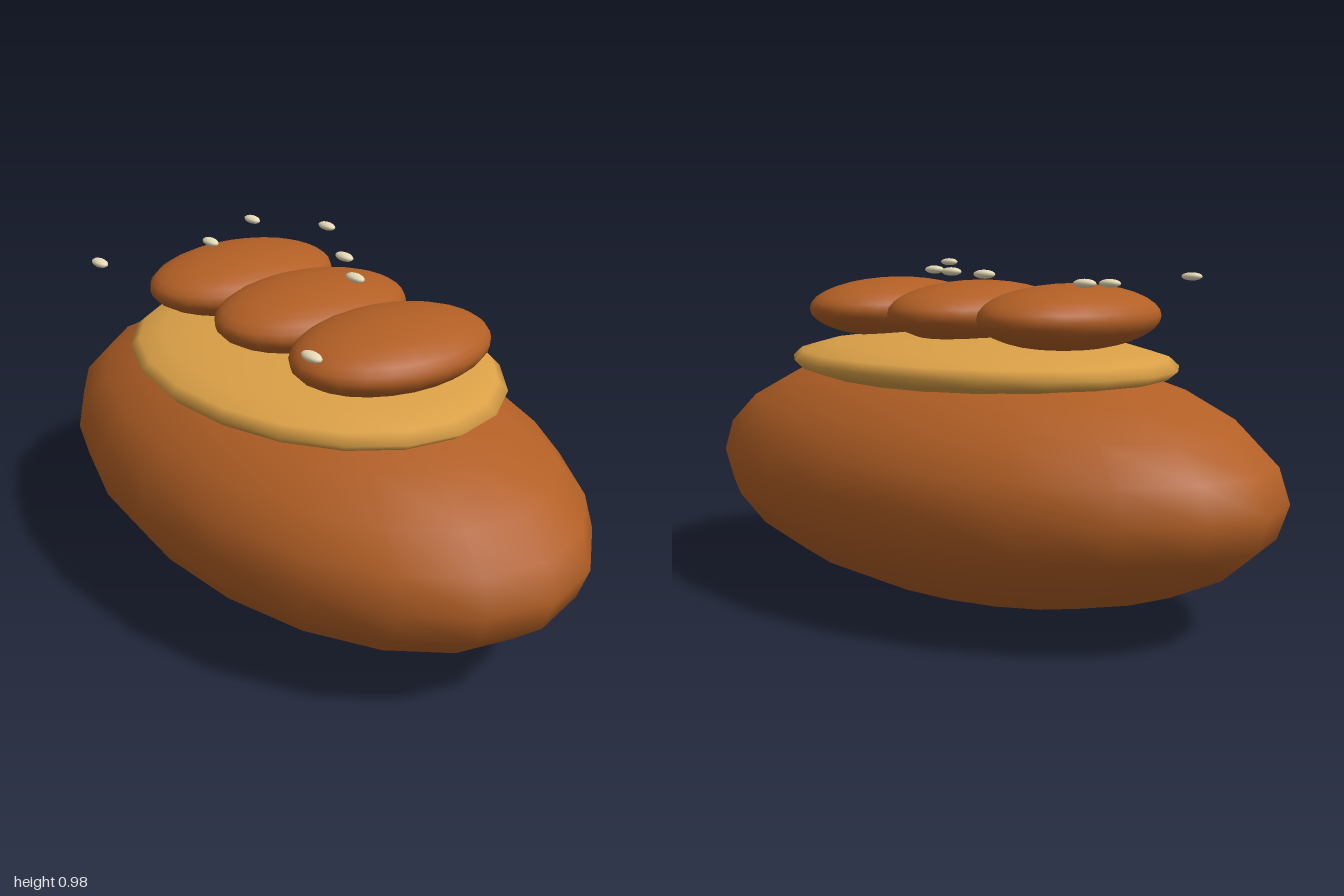
import * as THREE from 'three';

const paint = (name, color) => {
  const m = new THREE.MeshStandardMaterial({ color });
  m.name = name;
  return m;
};

// Smooth ellipsoid: centre, radii, segment counts
function ellipsoid(name, material, centre, radii, around, rings) {
  const geometry = new THREE.SphereGeometry(1, around, rings).scale(...radii);
  const mesh = new THREE.Mesh(geometry, material);
  mesh.name = name;
  mesh.position.set(...centre);
  return mesh;
}

export function createModel() {
  const crust = paint('brown crust', 0xb25f25);
  const glaze = paint('golden glaze', 0xdba047);
  const seed = paint('pale seed', 0xe8dcb8);

  const model = new THREE.Group();
  model.name = 'seededLoaf';

  // Wide loaf with a flat golden layer on top
  model.add(ellipsoid('loaf', crust, [0, 0.375, 0], [1, 0.37, 0.59], 20, 12));
  model.add(ellipsoid('glazeLayer', glaze, [0, 0.698, 0], [0.645, 0.083, 0.48], 20, 10));

  // Three overlapping ridges across the top
  for (const x of [-0.355, 0, 0.355]) {
    model.add(ellipsoid('topRidge', crust, [x, 0.842, 0], [0.213, 0.092, 0.305], 24, 16));
  }

  // Scattered seeds
  const seeds = new THREE.Group();
  seeds.name = 'seeds';
  const spots = [
    [-0.54, 0.944, -0.165], [-0.29, 0.964, -0.275], [-0.03, 0.962, -0.14],
    [0.13, 0.962, -0.053], [-0.45, 0.935, 0.052], [-0.455, 0.944, 0.43],
    [0.517, 0.97, 0.388],
  ];
  for (const spot of spots) {
    seeds.add(ellipsoid('seed', seed, spot, [0.036, 0.012, 0.019], 12, 8));
  }
  model.add(seeds);
  return model;
}
